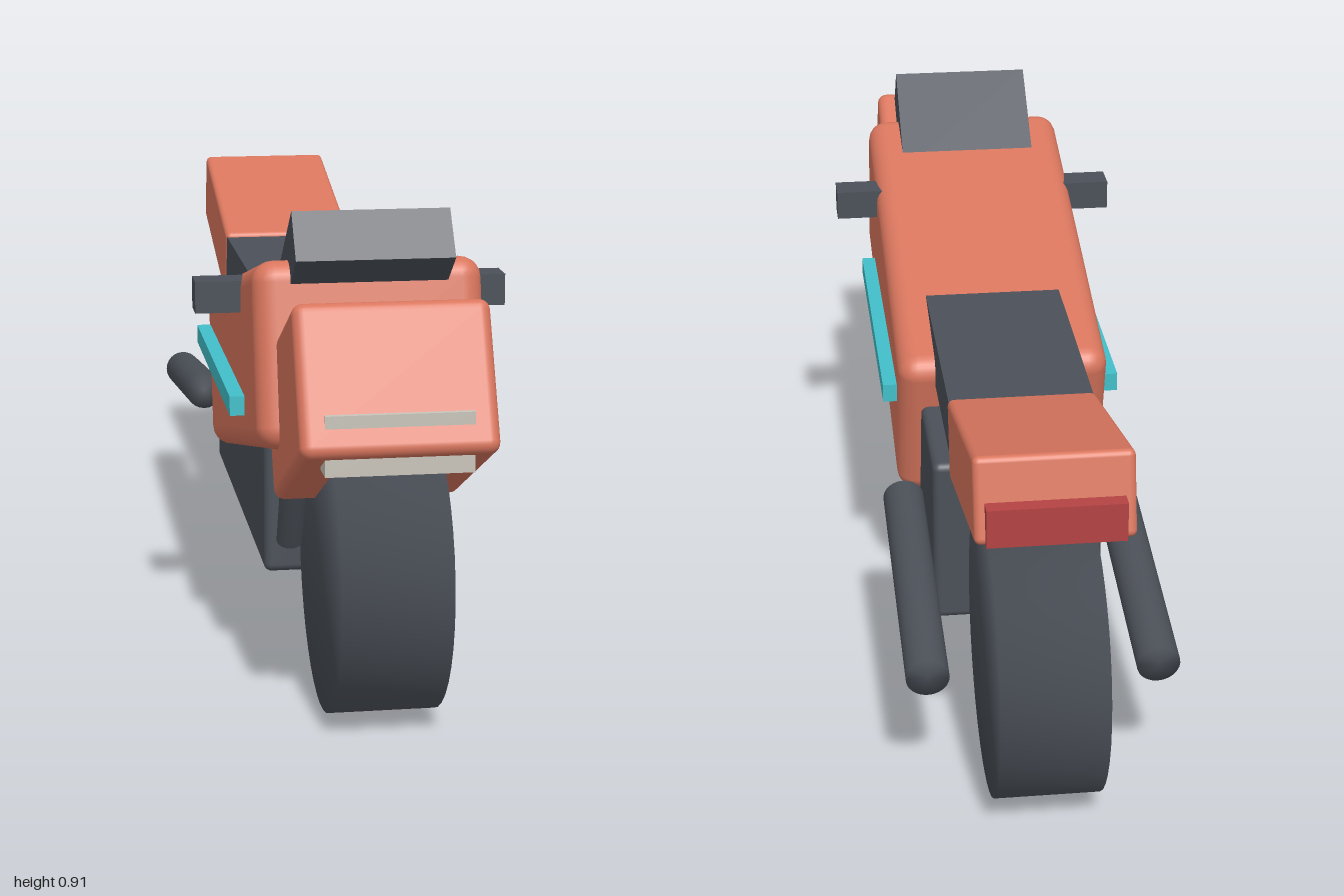
import * as THREE from 'three';
import { mergeVertices } from 'three/addons/utils/BufferGeometryUtils.js';
import { RoundedBoxGeometry } from 'three/addons/geometries/RoundedBoxGeometry.js';

const paint = (name, color) => {
  const m = new THREE.MeshStandardMaterial({ color });
  m.name = name;
  return m;
};

// Cylinder with one shared normal per vertex, so its rims shade softly
function softCylinder(radius, length, sides) {
  const g = new THREE.CylinderGeometry(radius, radius, length, sides);
  g.deleteAttribute('normal');
  g.deleteAttribute('uv');
  const merged = mergeVertices(g);
  merged.computeVertexNormals();
  return merged;
}

export function createModel() {
  const group = new THREE.Group();
  const orange = paint('orange paint', 0xd9765e);
  const grey = paint('dark grey', 0x4b5058);
  const cyan = paint('cyan trim', 0x42bfc9);
  const red = paint('red lamp', 0xb54343);
  const white = paint('pale lamp', 0xc9c5bb);

  const add = (name, geometry, material, x, y, z, tilt = 0) => {
    const mesh = new THREE.Mesh(geometry, material);
    mesh.name = name;
    mesh.position.set(x, y, z);
    mesh.rotation.x = tilt; // negative lifts the front
    group.add(mesh);
    return mesh;
  };
  const box = (w, h, d) => new THREE.BoxGeometry(w, h, d);
  const rounded = (w, h, d, r) => new RoundedBoxGeometry(w, h, d, 3, r);

  // Wheels
  const wheel = softCylinder(0.272, 0.196, 40);
  wheel.rotateZ(Math.PI / 2);
  add('frontWheel', wheel, grey, 0, 0.272, 0.712);
  add('rearWheel', wheel, grey, 0, 0.272, -0.728);

  // Engine and bodywork
  add('engine', rounded(0.33, 0.342, 0.87, 0.015), grey, 0, 0.335, -0.005);
  add('tank', rounded(0.42, 0.34, 0.888, 0.04), orange, 0, 0.547, 0.257, -0.244);
  add('noseFairing', rounded(0.344, 0.27, 0.42, 0.02), orange, 0, 0.578, 0.758, -0.45);
  add('tail', rounded(0.28, 0.155, 0.465, 0.012), orange, 0, 0.65, -0.724, 0.25);
  add('seat', box(0.274, 0.104, 0.56), grey, 0, 0.608, -0.27);
  add('windscreen', box(0.286, 0.1, 0.25), grey, 0, 0.793, 0.598, -0.65);
  add('handlebar', box(0.59, 0.06, 0.062), grey, 0, 0.712, 0.415);

  // Lamps
  add('headlight', box(0.257, 0.106, 0.055), white, 0, 0.56, 0.9575);
  add('tailLight', box(0.242, 0.072, 0.05), red, 0, 0.669, -0.953);

  // Mirrored parts
  const fork = softCylinder(0.025, 0.5, 16);
  const exhaust = softCylinder(0.04, 0.545, 24);
  exhaust.rotateX(Math.PI / 2);
  for (const [side, s] of [['left', 1], ['right', -1]]) {
    add(side + 'Fork', fork, grey, s * 0.123, 0.469, 0.583, 0.44);
    add(side + 'Exhaust', exhaust, grey, s * 0.211, 0.319, -0.556, -0.14);
    add(side + 'TrimStrip', box(0.035, 0.037, 0.645), cyan, s * 0.2205, 0.516, 0.181);
  }
  return group;
}
